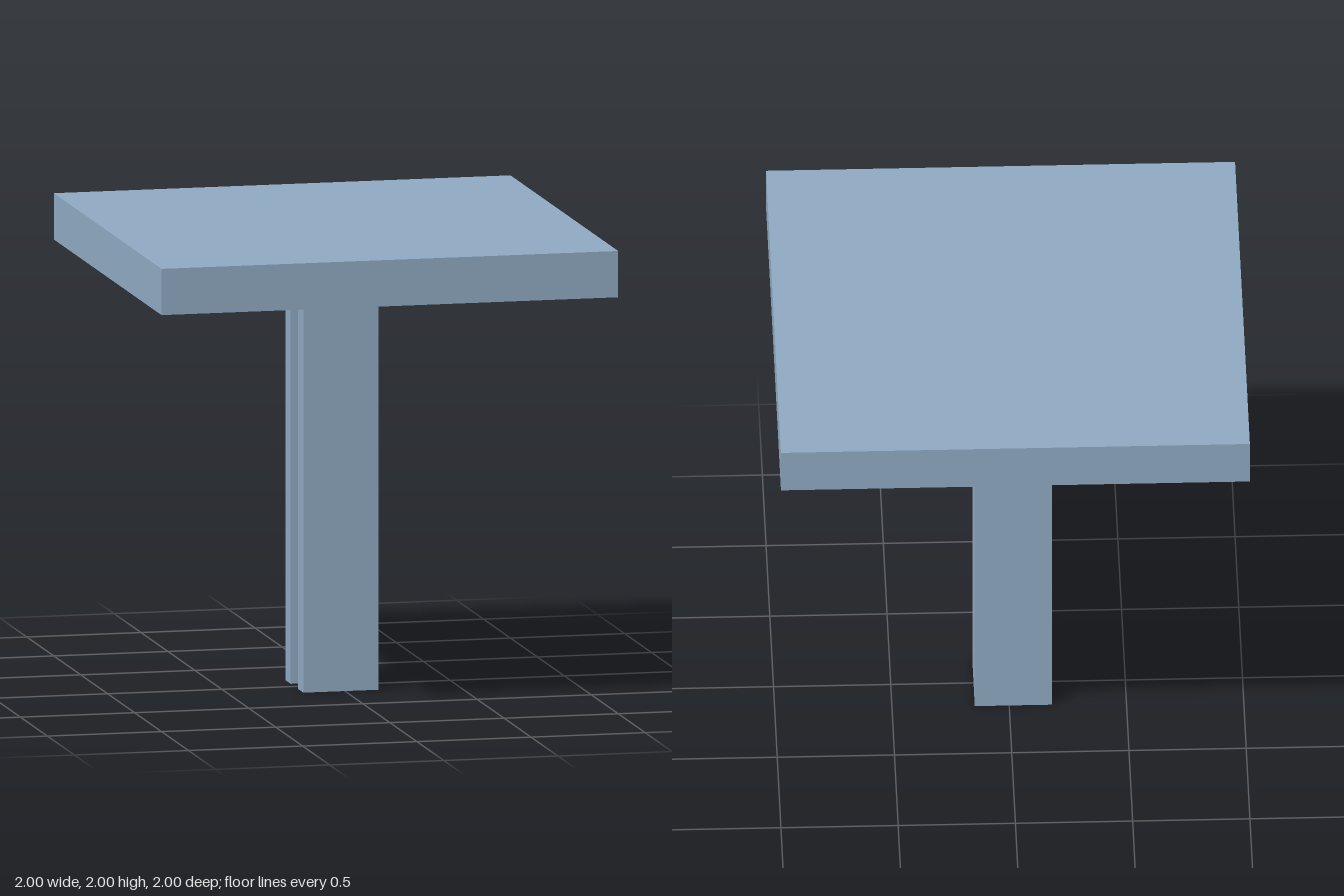
import * as THREE from 'three';

const steel = new THREE.MeshStandardMaterial({ color: 0x8fa9c1 });
steel.name = 'blue grey';
const blue = new THREE.MeshStandardMaterial({ color: 0x4a50d0 });
blue.name = 'strip blue';

function part(name, geometry, material, x = 0, y = 0, z = 0) {
  const mesh = new THREE.Mesh(geometry, material);
  mesh.name = name;
  mesh.position.set(x, y, z);
  return mesh;
}

// Extrudes a plan outline upwards (plan y becomes -z)
function extrudeUp(shape, height) {
  return new THREE.ExtrudeGeometry(shape, { depth: height, bevelEnabled: false }).rotateX(-Math.PI / 2);
}

const outline = (points) => points.map(([x, y]) => new THREE.Vector2(x, y));

// Underside of the top: four trapezoid pockets between diagonal ribs
function createUnderside(depth) {
  const shape = new THREE.Shape(outline([[-1, -1], [1, -1], [1, 1], [-1, 1]]));
  const pocket = outline([[0.3, -0.1], [0.3, 0.1], [0.87, 0.66], [0.87, -0.66]]);
  const centre = new THREE.Vector2();
  for (let i = 0; i < 4; i++) {
    shape.holes.push(new THREE.Path(pocket.map((p) => p.clone().rotateAround(centre, i * Math.PI / 2))));
  }
  const geometry = extrudeUp(shape, depth);

  // Slope the pocket walls inwards towards the ceiling
  const pos = geometry.attributes.position;
  for (let i = 0; i < pos.count; i++) {
    const x = pos.getX(i), z = pos.getZ(i);
    const reach = Math.max(Math.abs(x), Math.abs(z));
    if (pos.getY(i) < depth / 2 || reach > 0.95) continue;
    const [far, side] = reach < 0.5 ? [0.355, 0.087] : [0.845, 0.6];
    const alongX = Math.abs(x) > Math.abs(z);
    pos.setX(i, Math.sign(x) * (alongX ? far : side));
    pos.setZ(i, Math.sign(z) * (alongX ? side : far));
  }
  geometry.computeVertexNormals();
  return geometry;
}

export function createModel() {
  const group = new THREE.Group();
  group.name = 'pedestalTable';

  // Square top
  const pocketDepth = 0.06, topHeight = 0.2 - pocketDepth;
  group.add(part('tableTop', new THREE.BoxGeometry(2, topHeight, 2), steel, 0, 2 - topHeight / 2, 0));
  group.add(part('ribbedUnderside', createUnderside(pocketDepth), steel, 0, 1.8, 0));

  // Square column with a groove down one side
  const left = -0.182, right = 0.147, half = 0.165, groove = 0.07, floor = left + 0.05;
  const section = new THREE.Shape(outline([
    [left, -half], [right, -half], [right, half], [left, half],
    [left, groove], [floor, groove], [floor, -groove], [left, -groove],
  ]));
  group.add(part('column', extrudeUp(section, 1.8), steel));

  // Coloured strip on the groove floor
  group.add(part('grooveStrip', new THREE.BoxGeometry(0.004, 1.8, groove * 2), blue, floor - 0.002, 0.9, 0));

  return group;
}
